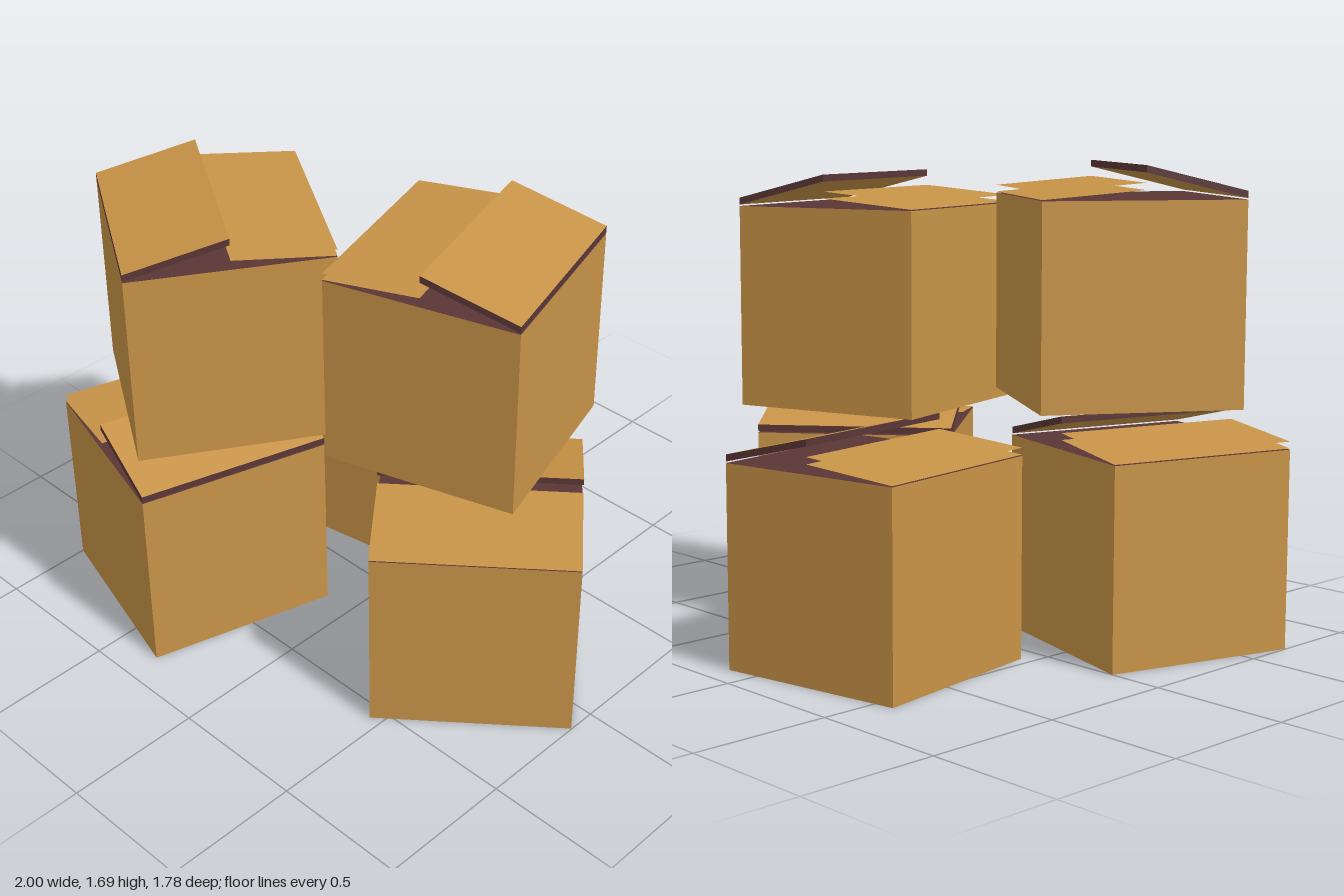
import * as THREE from 'three';

const SIZE = 0.707, HEIGHT = 0.71, HALF = SIZE / 2;

export function createModel() {
  const card = new THREE.MeshStandardMaterial({ color: 0xc79347, side: THREE.DoubleSide });
  card.name = 'cardboard tan';
  const dark = new THREE.MeshStandardMaterial({ color: 0x5a3636 });
  dark.name = 'dark cardboard brown';

  // Shear a geometry so it climbs from its hinge at x = hinge by the given rise.
  function slope(geo, hinge, rise) {
    const p = geo.attributes.position;
    for (let i = 0; i < p.count; i++) {
      p.setY(i, p.getY(i) + (Math.abs(p.getX(i) - hinge) / HALF) * rise);
    }
    geo.computeVertexNormals();
    return geo;
  }

  function add(group, name, geo, mat) {
    const mesh = new THREE.Mesh(geo, mat);
    mesh.name = name;
    group.add(mesh);
  }

  // One carton: body, a raised flap on +x and a nearly shut flap on -x.
  function carton(name, x, y, z, dx, dz) {
    const g = new THREE.Group();
    g.name = name;
    add(g, 'cartonBody', new THREE.BoxGeometry(SIZE, HEIGHT, SIZE).translate(0, HEIGHT / 2, 0),
      [card, card, dark, dark, card, card]);

    // raised flap: tan faces, dark cut edges
    const raised = new THREE.BoxGeometry(HALF, 0.024, SIZE).translate(HALF / 2, HEIGHT + 0.017, 0);
    add(g, 'raisedFlap', slope(raised, HALF, 0.087), [dark, dark, card, card, dark, dark]);

    // low flap: two thin sheets with a gap between them
    for (const [part, lift] of [['lowFlapTop', 0.028], ['lowFlapUnderside', 0.004]]) {
      const sheet = new THREE.PlaneGeometry(HALF, SIZE).rotateX(-Math.PI / 2)
        .translate(-HALF / 2, HEIGHT + lift, 0);
      add(g, part, slope(sheet, -HALF, 0.03), card);
    }

    g.position.set(x, y, z);
    g.rotation.y = Math.atan2(-dz, dx); // raised flap's hinge side points along (dx, dz)
    return g;
  }

  const model = new THREE.Group();
  model.name = 'cartonStack';
  model.add(
    carton('backCarton', -0.165, 0, -0.493, 0.69, -0.12),
    carton('frontRightCarton', -0.56, 0, 0.438, 0.68, 0.2),
    carton('leftCarton', 0.5, 0, 0.057, -0.455, -0.547),
    carton('upperRightCarton', -0.465, 0.865, 0.365, -0.375, 0.595),
    carton('upperLeftCarton', 0.281, 0.825, -0.091, 0.675, -0.207),
  );
  return model;
}
